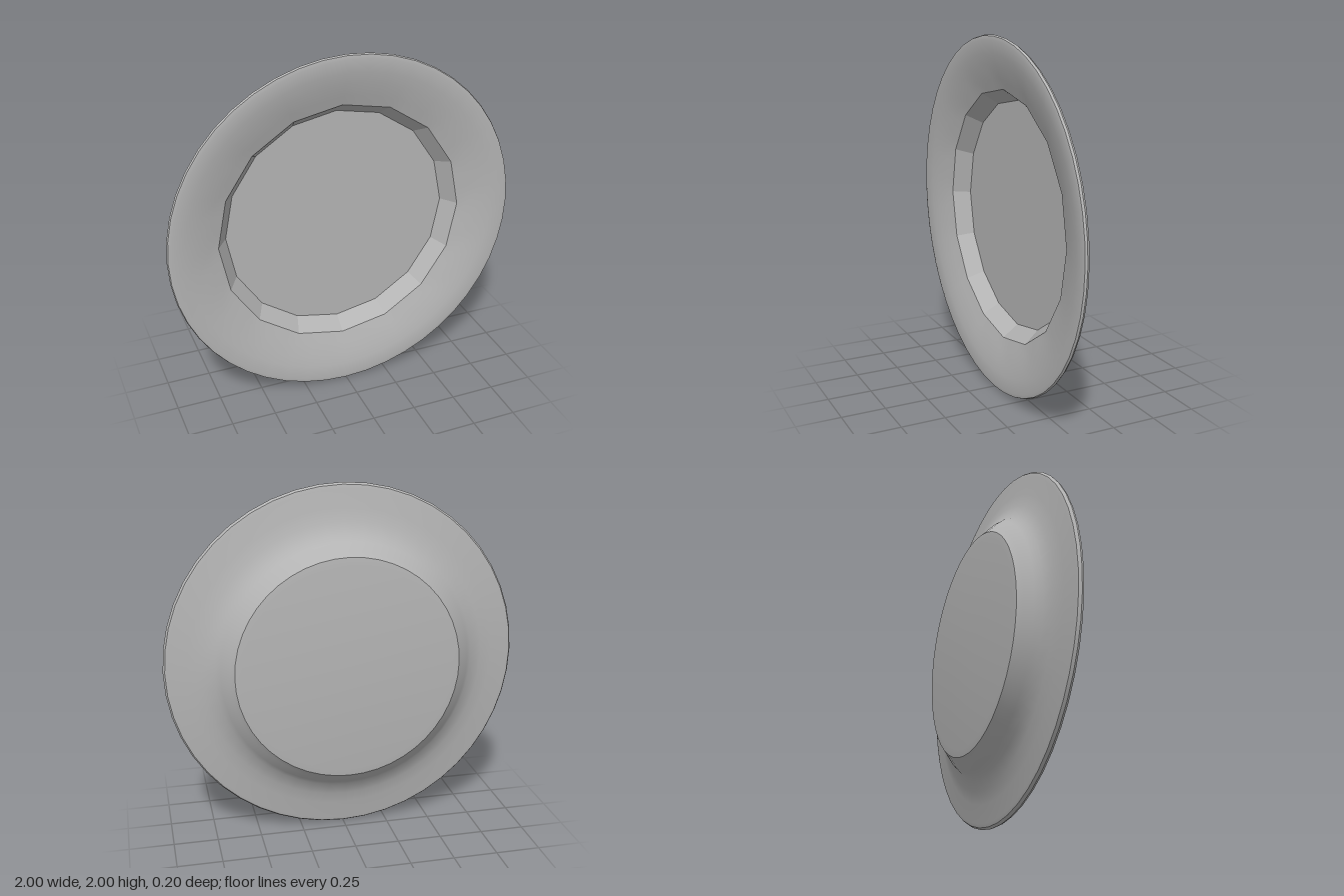
import * as THREE from 'three';
import { toCreasedNormals } from 'three/addons/utils/BufferGeometryUtils.js';

const SEGMENTS = 48;
const FACETS = 16; // sides of the inner well

// Revolve a [radius, z] profile about the z axis
function revolve(profile) {
  const points = profile.map(([r, z]) => new THREE.Vector2(r, z));
  return new THREE.LatheGeometry(points, SEGMENTS).rotateX(Math.PI / 2);
}

// Pull round rings in to a regular polygon, fading out towards the outer rim
function facet(geometry, fullRadius, fadeRadius) {
  const pos = geometry.attributes.position;
  const step = (2 * Math.PI) / FACETS;
  for (let i = 0; i < pos.count; i++) {
    const x = pos.getX(i), y = pos.getY(i), r = Math.hypot(x, y);
    const a = Math.atan2(y, x) + 2 * Math.PI;
    const polygon = Math.cos(step / 2) / Math.cos((a % step) - step / 2);
    const k = THREE.MathUtils.lerp(polygon, 1, THREE.MathUtils.smoothstep(r, fullRadius, fadeRadius));
    pos.setXY(i, x * k, y * k);
  }
  return geometry;
}

export function createModel() {
  const model = new THREE.Group();
  model.name = 'plate';
  const glaze = new THREE.MeshStandardMaterial({ color: 0xb4b4b4 });
  glaze.name = 'grey glaze';

  const add = (name, geometry, crease) => {
    const mesh = new THREE.Mesh(toCreasedNormals(geometry, crease), glaze);
    mesh.name = name;
    mesh.position.y = 1;
    model.add(mesh);
  };

  // Underside: flat base, rounded foot, sloped wall and flared lip
  add('underside', revolve([
    [0, -0.1], [0.59, -0.1], [0.63, -0.095], [0.655, -0.07], [0.7, -0.03], [0.73, 0.005],
    [0.8, 0.03], [0.87, 0.05], [0.97, 0.06], [0.99, 0.065], [1, 0.08],
  ]), 0.6);

  // Rolled edge and the dished front of the lip
  add('lip', facet(revolve([
    [1, 0.08], [0.995, 0.092], [0.975, 0.096], [0.9, 0.085], [0.84, 0.073], [0.77, 0.05], [0.71, 0.03],
  ]), 0.72, 0.85), 0.8);

  // Faceted wall of the well and its flat floor
  add('well', facet(revolve([
    [0.71, 0.03], [0.645, -0.06], [0, -0.06],
  ]), 0.72, 0.85), 0.2);

  return model;
}
